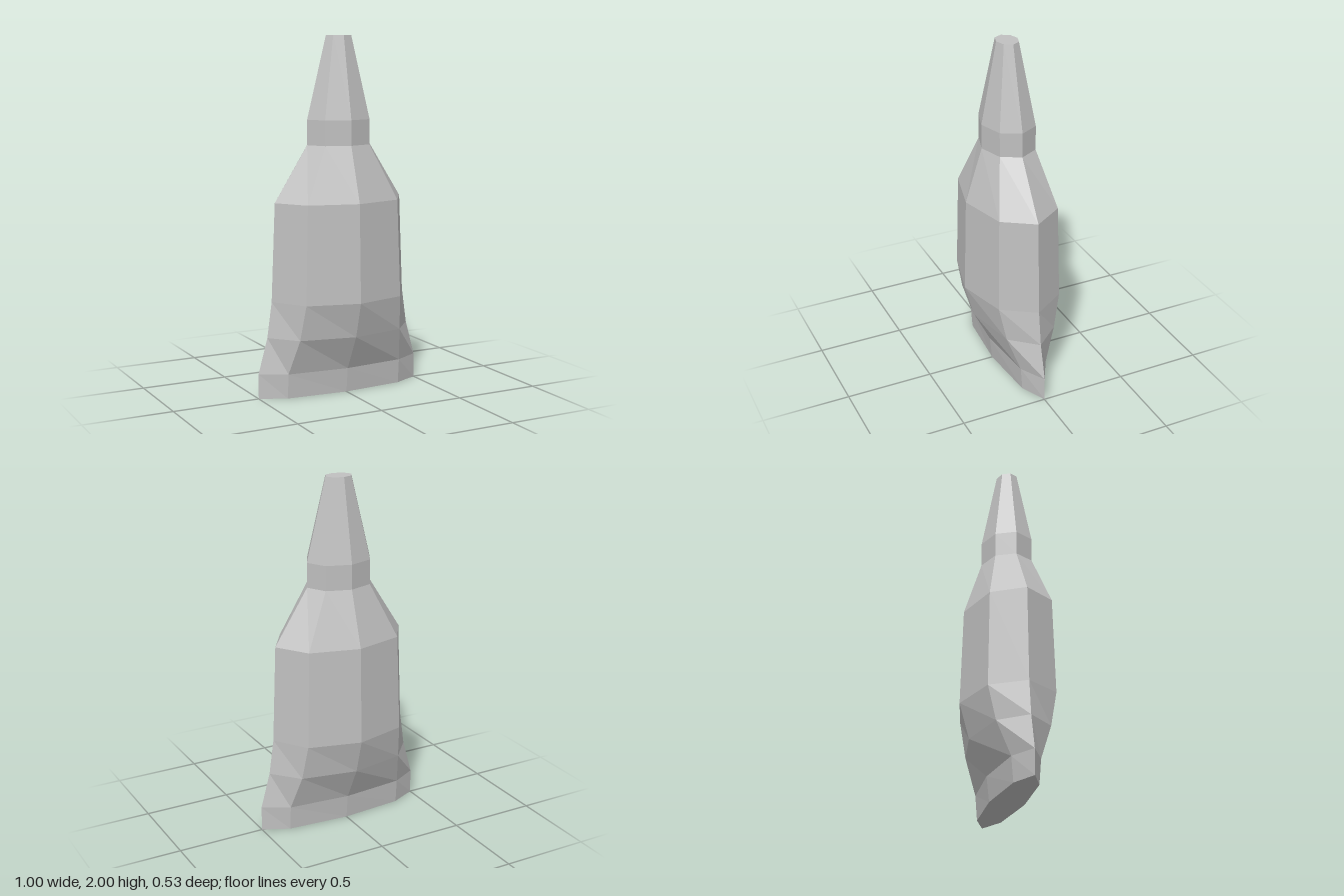
import * as THREE from 'three';

const SIDES = 8;

// one corner of an eight-sided elliptical ring [y, radius x, radius z]
function corner([y, rx, rz], i) {
  const a = (i / SIDES) * Math.PI * 2;
  return [Math.sin(a) * rx, y, Math.cos(a) * rz];
}

// faceted skin through a list of rings, given from bottom to top
function loft(rings, { capBottom = false, capTop = false } = {}) {
  const pos = [];
  const tri = (a, b, c) => pos.push(...a, ...b, ...c);
  const first = rings[0];
  const last = rings[rings.length - 1];
  for (let i = 0; i < SIDES; i++) {
    for (let k = 0; k < rings.length - 1; k++) {
      const ll = corner(rings[k], i), lr = corner(rings[k], i + 1);
      const ul = corner(rings[k + 1], i), ur = corner(rings[k + 1], i + 1);
      tri(ul, ll, lr);
      tri(ul, lr, ur);
    }
    if (capBottom) tri([0, first[0], 0], corner(first, i + 1), corner(first, i));
    if (capTop) tri([0, last[0], 0], corner(last, i), corner(last, i + 1));
  }
  const geo = new THREE.BufferGeometry();
  geo.setAttribute('position', new THREE.Float32BufferAttribute(pos, 3));
  geo.computeVertexNormals();
  return geo;
}

export function createModel() {
  const group = new THREE.Group();
  group.name = 'squeezeTube';
  const grey = new THREE.MeshStandardMaterial({ color: 0xc0c0c0, flatShading: true });
  grey.name = 'lightGrey';

  const add = (name, rings, caps) => {
    const mesh = new THREE.Mesh(loft(rings, caps), grey);
    mesh.name = name;
    group.add(mesh);
  };

  // shared rings: y, radius x, radius z
  const foot = [0.14, 0.5, 0.112];
  const belly = [0.54, 0.417, 0.266];
  const shoulder = [1.09, 0.394, 0.25];
  const neckLow = [1.4, 0.195, 0.151];
  const neckHigh = [1.54, 0.195, 0.151];

  // flattened crimp the tube stands on
  add('crimp', [[0, 0.5, 0.097], foot], { capBottom: true });
  // pinched lower part, body and sloping shoulder
  add('lowerBody', [foot, [0.34, 0.445, 0.211], belly]);
  add('body', [belly, shoulder]);
  add('shoulder', [shoulder, neckLow]);
  // straight collar and tapered nozzle with flat tip
  add('collar', [neckLow, neckHigh]);
  add('nozzle', [neckHigh, [2, 0.079, 0.062]], { capTop: true });

  return group;
}
